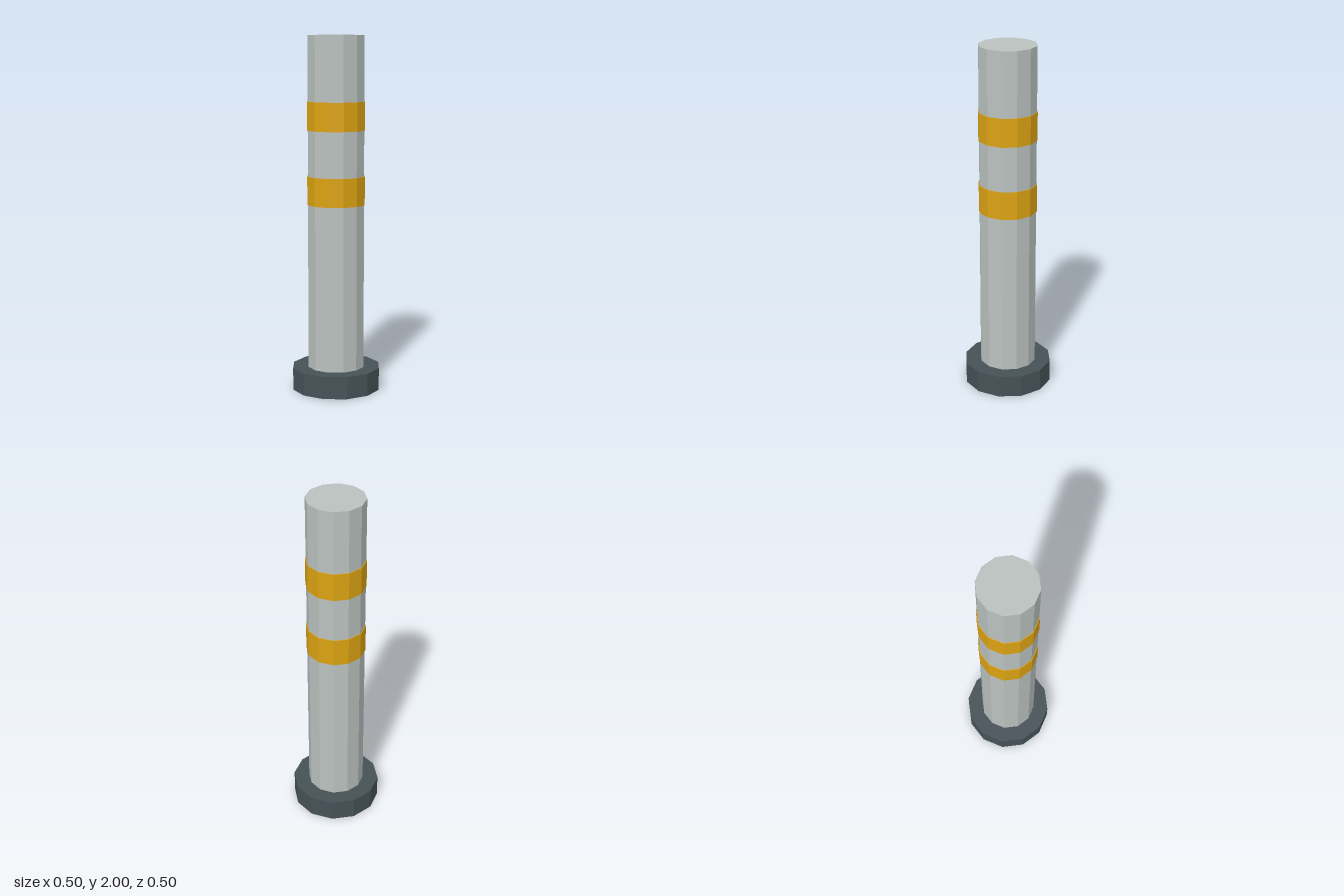
import * as THREE from 'three';

const SIDES = 12;

function makeMaterial(name, color) {
  const material = new THREE.MeshStandardMaterial({ color, flatShading: true });
  material.name = name;
  return material;
}

// Faceted upright drum between two heights
function drum(name, radius, bottom, top, material) {
  const mesh = new THREE.Mesh(
    new THREE.CylinderGeometry(radius, radius, top - bottom, SIDES),
    material
  );
  mesh.name = name;
  mesh.position.y = (bottom + top) / 2;
  return mesh;
}

export function createModel() {
  const steel = makeMaterial('light grey', 0xb9c1be);
  const dark = makeMaterial('dark slate', 0x465157);
  const yellow = makeMaterial('amber', 0xdba212);

  const model = new THREE.Group();
  model.name = 'bollard';

  // Foot and post
  model.add(drum('base', 0.252, 0, 0.127, dark));
  model.add(drum('post', 0.162, 0.127, 2, steel));

  // Reflective bands wrapped around the post
  [['lowerBand', 1.06], ['upperBand', 1.476]].forEach(([name, bottom]) => {
    model.add(drum(name, 0.166, bottom, bottom + 0.16, yellow));
  });

  return model;
}
